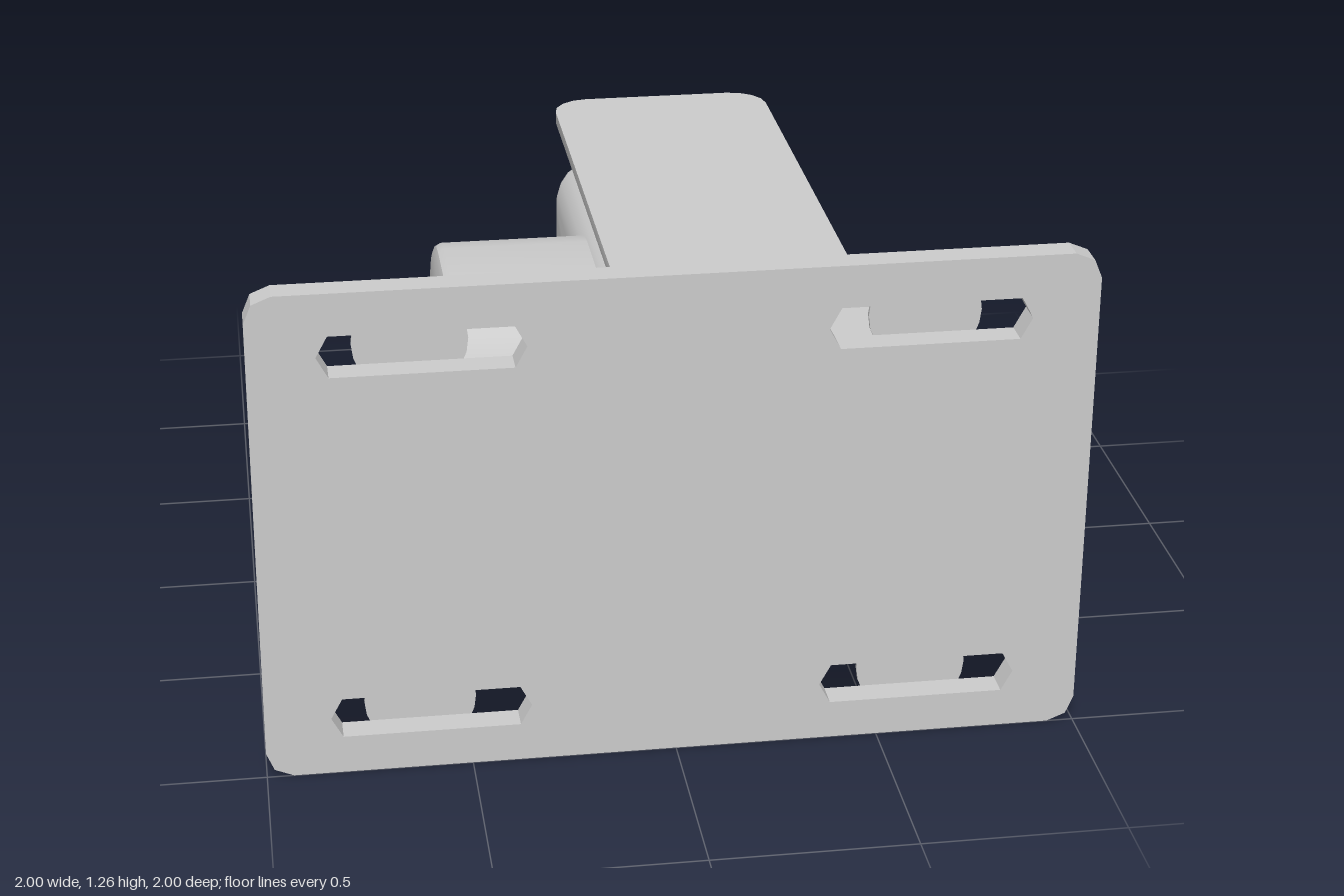
import * as THREE from 'three';
import { toCreasedNormals } from 'three/addons/utils/BufferGeometryUtils.js';

const material = new THREE.MeshStandardMaterial({ color: 0xcccccc });

// Rounded rectangle centred on the origin; rLow is the radius of its two lower corners
function roundedRect(w, h, r, rLow = r) {
  const s = new THREE.Shape(), x = w / 2, y = h / 2, q = Math.PI / 2;
  s.absarc(x - r, y - r, r, 0, q);
  s.absarc(-x + r, y - r, r, q, 2 * q);
  s.absarc(-x + rLow, -y + rLow, rLow, 2 * q, 3 * q);
  s.absarc(x - rLow, -y + rLow, rLow, 3 * q, 4 * q);
  return s;
}

// Solid along +z from an outline, with rings of [height, inset] and closed ends
function loft(shape, w, h, rings, divisions = 2) {
  const pts = shape.getPoints(divisions), n = pts.length, pos = [], idx = [];
  for (const [t, inset] of rings)
    for (const p of pts) pos.push(p.x * (1 - 2 * inset / w), p.y * (1 - 2 * inset / h), t);
  const last = rings.length - 1;
  pos.push(0, 0, rings[0][0], 0, 0, rings[last][0]);
  const c = n * rings.length;
  for (let i = 0; i < n; i++) {
    const j = (i + 1) % n;
    for (let k = 0; k < last; k++) {
      const a = k * n, b = a + n;
      idx.push(a + i, a + j, b + j, a + i, b + j, b + i);
    }
    idx.push(c, j, i, c + 1, last * n + i, last * n + j);
  }
  const g = new THREE.BufferGeometry();
  g.setAttribute('position', new THREE.Float32BufferAttribute(pos, 3));
  g.setIndex(idx);
  return toCreasedNormals(g, 0.6);
}

// Cylinder or cone along z, from z0 (radius r0) to z1 (radius r1)
function rod(r0, r1, z0, z1, sides = 24) {
  return new THREE.CylinderGeometry(r1, r0, z1 - z0, sides)
    .rotateX(Math.PI / 2).translate(0, 0, (z0 + z1) / 2);
}

export function createModel() {
  const model = new THREE.Group();
  const add = (name, geometry, x = 0, y = 0, z = 0, parent = model) => {
    const mesh = new THREE.Mesh(geometry, material);
    mesh.name = name;
    mesh.position.set(x, y, z);
    parent.add(mesh);
    return mesh;
  };

  // Mounting plate with four slots
  const plate = roundedRect(2, 1.26, 0.065);
  for (const sx of [-1, 1]) for (const y of [-0.48, 0.472]) {
    const cx = sx * 0.597;
    plate.holes.push(new THREE.Path([
      [-0.243, 0], [-0.215, 0.052], [0.215, 0.052], [0.243, 0], [0.215, -0.052], [-0.215, -0.052],
    ].map(([px, py]) => new THREE.Vector2(cx + px, y + py))));
  }
  add('mountingPlate', new THREE.ExtrudeGeometry(plate, { depth: 0.068, bevelEnabled: false, curveSegments: 1 }), 0, 0.63, 0.932);

  // Socket head screws with washers
  const head = new THREE.Shape().absarc(0, 0, 0.08, 0, Math.PI * 2);
  head.holes.push(new THREE.Path(Array.from({ length: 6 }, (_, i) =>
    new THREE.Vector2(0.043 * Math.cos(i * Math.PI / 3), 0.043 * Math.sin(i * Math.PI / 3)))));
  const headGeometry = toCreasedNormals(new THREE.ExtrudeGeometry(head, { depth: 0.08, bevelEnabled: false, curveSegments: 24 }), 0.6);
  for (const x of [-0.62, 0.597]) for (const y of [0.15, 1.102]) {
    const screw = new THREE.Group();
    screw.name = 'screw';
    screw.position.set(x, y, 0.845);
    add('screwHead', headGeometry, 0, 0, 0, screw);
    add('socketFloor', rod(0.06, 0.06, 0.045, 0.08), 0, 0, 0, screw);
    add('washer', rod(0.136, 0.136, 0.077, 0.087), 0, 0, 0, screw);
    model.add(screw);
  }

  // Support arm, rounded at its rear end and chamfered underneath
  const arm = loft(roundedRect(0.61, 1.9, 0.1, 0.001), 0.61, 1.9,
    [[0, 0.03], [0.012, 0.012], [0.035, 0], [0.067, 0]]).rotateX(-Math.PI / 2);
  add('supportArm', arm, 0.235, 0.932, 0.005);

  // Spacers between arm and body
  for (const z of [0.28, -0.765])
    add('spacer', new THREE.CylinderGeometry(0.077, 0.077, 0.15, 24), 0.235, 0.872, z);

  // Body with one softly rounded side
  const rings = [];
  for (let i = 0; i <= 5; i++) {
    const a = i / 5 * Math.PI / 2;
    rings.push([0.1 * (1 - Math.sin(a)), 0.1 * (1 - Math.cos(a))]);
  }
  rings.reverse();
  rings.forEach((r, i) => { const a = i / 5 * Math.PI / 2; r[0] = 0.1 * (1 - Math.cos(a)); r[1] = 0.1 * (1 - Math.sin(a)); });
  rings.push([0.607, 0]);
  const body = loft(roundedRect(1.42, 0.705, 0.04), 1.42, 0.705, rings).rotateY(Math.PI / 2);
  add('body', body, -0.07, 0.457, -0.245);

  // Bowed cover on the other side
  const bow = new THREE.Shape([
    [-0.705, 0.3], [0.705, 0.3], [0.705, 0.537], [0.47, 0.566], [0.22, 0.59],
    [-0.22, 0.59], [-0.47, 0.566], [-0.705, 0.537],
  ].map(([z, x]) => new THREE.Vector2(x, z)));
  const cover = new THREE.ExtrudeGeometry(bow, {
    depth: 0.63, bevelThickness: 0.035, bevelSize: 0.035, bevelOffset: -0.035, bevelSegments: 3,
  }).rotateX(-Math.PI / 2);
  add('bowedCover', toCreasedNormals(cover, 0.5), 0, 0.142, -0.245);

  // Side drum with a narrow chamfered rim
  const drum = loft(roundedRect(0.78, 0.66, 0.26), 0.78, 0.66,
    [[0, 0.025], [0.008, 0.008], [0.025, 0], [0.42, 0]], 3).rotateY(Math.PI / 2);
  add('sideDrum', drum, -0.46, 0.457, -0.25);

  // Button on the rear face
  const button = loft(roundedRect(0.24, 0.12, 0.055), 0.24, 0.12,
    [[-0.045, 0.025], [-0.035, 0.008], [-0.02, 0], [0.02, 0]], 3);
  add('rearButton', button, 0.29, 0.46, -0.955);

  // Gland, shaft and flared foot joining the body to the plate
  add('gland', rod(0.127, 0.127, 0.44, 0.63), 0.235, 0.46);
  add('glandChamfer', rod(0.127, 0.108, 0.63, 0.65), 0.235, 0.46);
  add('shaft', rod(0.05, 0.05, 0.63, 0.935), 0.235, 0.46);
  const foot = rod(0.05, 0.125, 0.9, 0.935, 8).toNonIndexed();
  foot.computeVertexNormals();
  add('flaredFoot', foot, 0.235, 0.46);

  return model;
}
